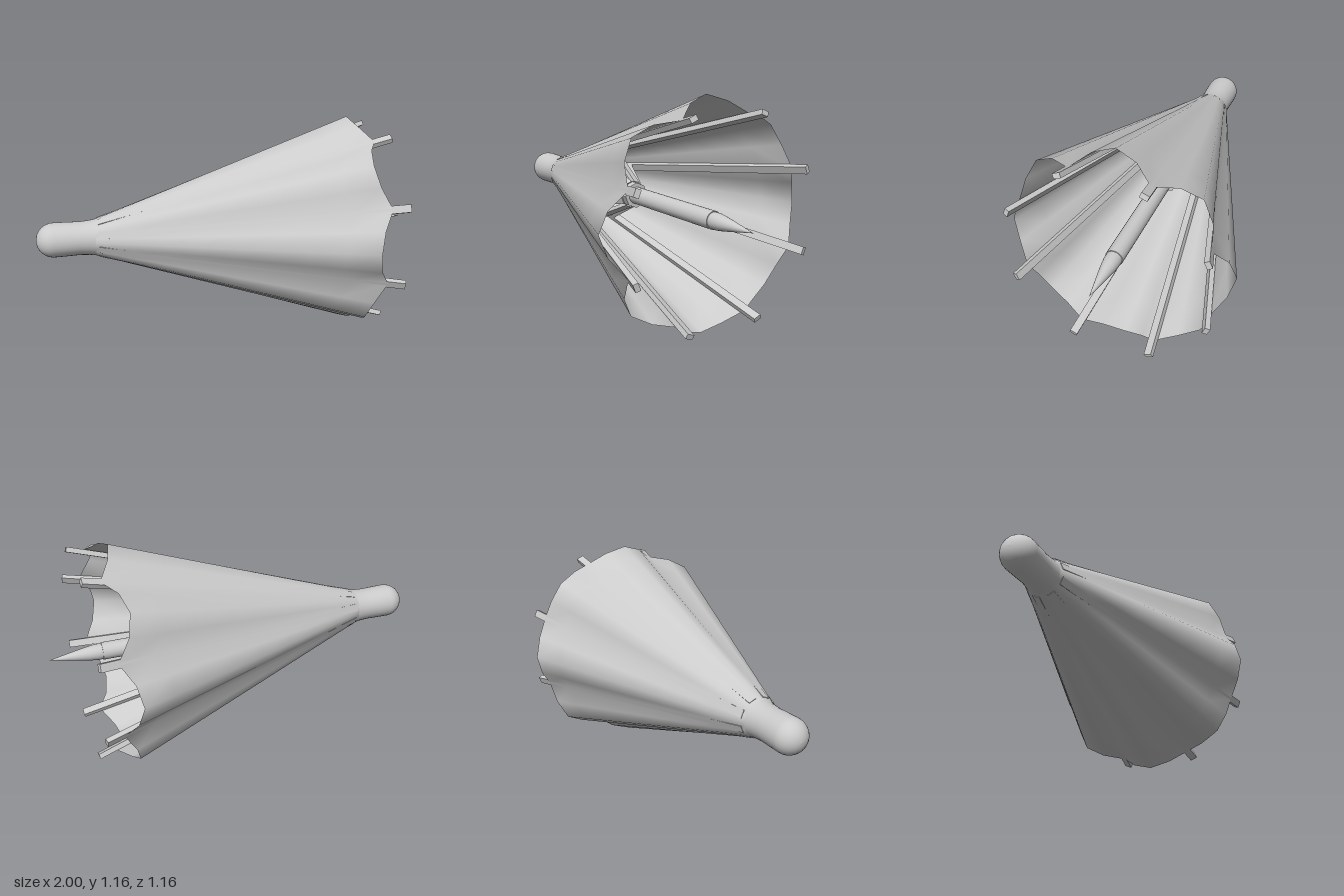
import * as THREE from 'three';

const grey = new THREE.MeshStandardMaterial({ color: 0xcccccc });
const greyDouble = new THREE.MeshStandardMaterial({ color: 0xcccccc, side: THREE.DoubleSide });

const PANELS = 8;
const ROOT = { x: -0.7, r: 0.095 };   // where the canopy meets the neck
// rim from the crest of a panel to the valley at a rib
const RIM = [{ x: 0.655, r: 0.578 }, { x: 0.68, r: 0.555 }, { x: 0.74, r: 0.52 }];

function named(geometry, name, material = grey) {
  const mesh = new THREE.Mesh(geometry, material);
  mesh.name = name;
  return mesh;
}

// Profile of [x, radius] pairs turned about the x axis
function turned(points, name, segments = 32) {
  const profile = points.map(([x, r]) => new THREE.Vector2(r, x));
  const geometry = new THREE.LatheGeometry(profile, segments);
  geometry.rotateZ(-Math.PI / 2);
  return named(geometry, name, greyDouble);
}

// Flat bar between two points of the x / radius plane
function bar(a, b, thickness, width, name) {
  const dx = b[0] - a[0], dy = b[1] - a[1];
  const mesh = named(new THREE.BoxGeometry(Math.hypot(dx, dy), thickness, width), name);
  mesh.position.set((a[0] + b[0]) / 2, (a[1] + b[1]) / 2, 0);
  mesh.rotation.z = Math.atan2(dy, dx);
  return mesh;
}

// Straight pleated cone with a scalloped rim
function canopy() {
  const around = PANELS * 4, along = 8;
  const positions = [], index = [];
  for (let i = 0; i <= along; i++) {
    const t = i / along;
    for (let j = 0; j < around; j++) {
      const k = j % 4;
      const rim = RIM[k === 3 ? 1 : k];
      const a = (j / around) * Math.PI * 2;
      const r = THREE.MathUtils.lerp(ROOT.r, rim.r, t);
      positions.push(THREE.MathUtils.lerp(ROOT.x, rim.x, t), r * Math.cos(a), r * Math.sin(a));
      if (i < along) {
        const p = i * around + j, q = i * around + (j + 1) % around;
        index.push(p, q, p + around, q, q + around, p + around);
      }
    }
  }
  const geometry = new THREE.BufferGeometry();
  geometry.setAttribute('position', new THREE.Float32BufferAttribute(positions, 3));
  geometry.setIndex(index);
  geometry.computeVertexNormals();
  return named(geometry, 'canopy', greyDouble);
}

export function createModel() {
  const model = new THREE.Group();
  model.name = 'foldedUmbrella';
  const body = new THREE.Group();
  body.name = 'body';
  body.position.y = 0.58;
  model.add(body);

  body.add(canopy());

  // Rounded cap with a slight waist
  const cap = [];
  for (let i = 0; i <= 8; i++) {
    const a = (i / 8) * Math.PI / 2;
    cap.push([-0.91 - 0.09 * Math.cos(a), 0.09 * Math.sin(a)]);
  }
  cap.push([-0.85, 0.089], [-0.78, 0.087], [-0.73, 0.09], [ROOT.x, ROOT.r]);
  body.add(turned(cap, 'cap'));

  // Central shaft, pointed tip and octagonal runner
  const shaft = named(new THREE.CylinderGeometry(0.045, 0.045, 1.48, 24), 'shaft');
  shaft.rotation.z = -Math.PI / 2;
  shaft.position.x = -0.01;
  body.add(shaft);
  body.add(turned([[0.72, 0.041], [0.76, 0.041], [0.8, 0.036], [0.87, 0.024], [0.94, 0.011], [1, 0]], 'tip', 24));
  const runner = named(new THREE.CylinderGeometry(0.068, 0.068, 0.08, 8).toNonIndexed(), 'runner');
  runner.geometry.computeVertexNormals();
  runner.rotation.z = -Math.PI / 2;
  runner.position.x = 0.05;
  body.add(runner);

  // Ribs in the valleys, each propped by a strut from the runner
  for (let i = 0; i < PANELS; i++) {
    const spoke = new THREE.Group();
    spoke.name = 'spoke';
    spoke.rotation.x = ((i + 0.5) / PANELS) * Math.PI * 2;
    spoke.add(bar([-0.68, 0.09], [0.828, 0.535], 0.026, 0.04, 'rib'));
    spoke.add(bar([0.05, 0.06], [-0.26, 0.21], 0.02, 0.04, 'strut'));
    body.add(spoke);
  }
  return model;
}
